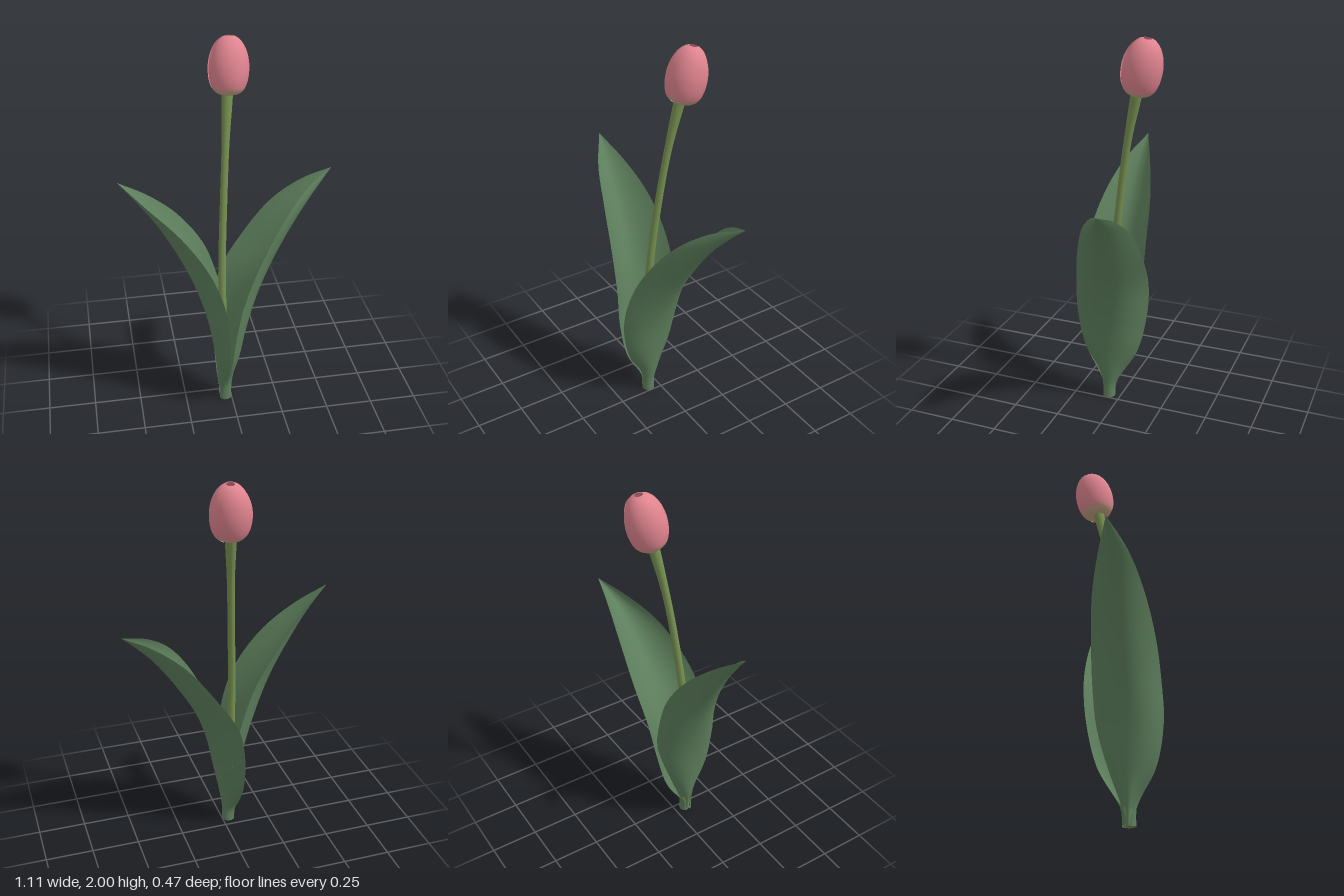
import * as THREE from 'three';

const mat = (name, color) => {
  const m = new THREE.MeshStandardMaterial({ color, side: THREE.DoubleSide });
  m.name = name;
  return m;
};
const V = (x, y, z) => new THREE.Vector3(x, y, z);
const { lerp, smoothstep, clamp, degToRad } = THREE.MathUtils;

// Smooth grid surface from point(u, v); groupOf(row) picks the material index
function surface(point, nu, nv, groupOf = () => 0) {
  const pos = [], idx = [], geo = new THREE.BufferGeometry();
  for (let j = 0; j <= nv; j++)
    for (let i = 0; i <= nu; i++) pos.push(...point(i / nu, j / nv).toArray());
  for (let j = 0; j < nv; j++) {
    geo.addGroup(idx.length, nu * 6, groupOf(j));
    for (let i = 0; i < nu; i++) {
      const a = j * (nu + 1) + i, b = a + nu + 1;
      idx.push(a, b, a + 1, a + 1, b, b + 1);
    }
  }
  geo.setAttribute('position', new THREE.Float32BufferAttribute(pos, 3));
  geo.setIndex(idx);
  geo.computeVertexNormals();
  return geo;
}

// Leaf rows: height, midrib x, front edge x, back edge x, front edge z, back edge z, belly
const leftRows = [
  [0, 0, -0.066, -0.066, 0.068, 0.058, 0.031],
  [0.07, 0, -0.06, -0.067, 0.083, 0.042, 0.024],
  [0.14, 0.008, -0.045, -0.072, 0.115, -0.005, 0.02],
  [0.28, 0.028, -0.02, -0.073, 0.19, -0.085, 0.018],
  [0.5, 0.07, -0.002, -0.063, 0.23, -0.14, 0.012],
  [0.7, 0.14, 0.042, -0.02, 0.217, -0.165, 0.005],
  [0.9, 0.25, 0.13, 0.1, 0.172, -0.177, 0],
  [1.1, 0.385, 0.268, 0.255, 0.085, -0.168, 0],
  [1.22, 0.49, 0.408, 0.41, -0.02, -0.14, 0],
  [1.285, 0.553, 0.553, 0.553, -0.11, -0.11, 0],
];
const rightRows = [
  [0, -0.062, -0.036, -0.03, 0.088, 0.036, 0],
  [0.07, -0.067, -0.034, -0.03, 0.095, 0.032, 0],
  [0.14, -0.075, -0.03, -0.026, 0.122, 0.012, 0.005],
  [0.28, -0.088, -0.03, -0.022, 0.195, -0.038, 0.01],
  [0.5, -0.12, -0.035, -0.008, 0.235, -0.1, 0.008],
  [0.7, -0.175, -0.06, -0.05, 0.231, -0.115, 0.004],
  [0.9, -0.255, -0.132, -0.12, 0.216, -0.111, 0],
  [1.1, -0.36, -0.267, -0.255, 0.178, -0.085, 0],
  [1.25, -0.46, -0.422, -0.405, 0.12, -0.03, 0],
  [1.365, -0.555, -0.555, -0.555, 0.035, 0.035, 0],
];

// Cupped blade: rolled round the stem at its foot, opening to a soft fold above
function leafGeometry(rows) {
  const curve = f => new THREE.CatmullRomCurve3(rows.map(f));
  const mid = curve(r => V(r[1], r[0], (r[4] + r[5]) / 2));
  const front = curve(r => V(r[2], r[0], r[4]));
  const back = curve(r => V(r[3], r[0], r[5]));
  const belly = curve(r => V(r[6], r[0], 0));
  return surface((u, v) => {
    const s = u * 2 - 1;
    const m = mid.getPoint(v), f = front.getPoint(v), b = back.getPoint(v);
    const fold = Math.abs(s) ** lerp(2.1, 1.75, smoothstep(m.y, 0.5, 1));
    const w = lerp((1 - Math.cos(Math.PI * s)) / 2, fold, smoothstep(m.y, 0.05, 0.4));
    const side = f.clone().sub(b).multiplyScalar(s / 2);
    side.z += belly.getPoint(v).x * Math.sin(Math.PI * s);
    const cup = f.add(b).multiplyScalar(0.5).sub(m).multiplyScalar(w);
    return m.add(side).add(cup);
  }, 24, 45);
}

// Cylinder bent along a curve, with the radius changing on the way up
function stemGeometry() {
  const path = new THREE.CatmullRomCurve3([
    V(-0.033, 0, 0.063), V(-0.042, 0.4, 0.06), V(-0.045, 0.8, 0.04),
    V(-0.025, 1.25, -0.012), V(-0.009, 1.5, -0.052), V(0.009, 1.745, -0.104),
  ]);
  const radius = new THREE.SplineCurve([0.025, 0.022, 0.02, 0.019, 0.02, 0.029]
    .map((r, i) => new THREE.Vector2(i, r)));
  const geo = new THREE.CylinderGeometry(1, 1, 1, 16, 40).rotateY(Math.PI);
  const p = geo.attributes.position;
  for (let i = 0; i < p.count; i++) {
    const t = clamp(p.getY(i) + 0.5, 0, 1);
    const c = path.getPoint(t), r = radius.getPoint(t).y;
    p.setXYZ(i, c.x + p.getX(i) * r, c.y, c.z + p.getZ(i) * r);
  }
  geo.computeVertexNormals();
  return geo;
}

// One petal wraps a third of the bud, its leading edge lapping over the next
function petalGeometry(start) {
  const profile = new THREE.SplineCurve([
    [0.018, 0], [0.05, 0.005], [0.075, 0.024], [0.09, 0.056], [0.098, 0.1],
    [0.098, 0.15], [0.088, 0.2], [0.069, 0.242], [0.044, 0.27], [0.02, 0.282],
  ].map(q => new THREE.Vector2(...q)));
  const span = degToRad(134);
  return surface((u, v) => {
    const q = profile.getPoint(v), a = start + u * span;
    const r = q.x * (1.04 - 0.095 * u);
    return V(r * Math.cos(a), q.y, r * Math.sin(a));
  }, 24, 36, row => (row < 8 ? 0 : row < 11 ? 1 : 2));
}

export function createModel() {
  const group = new THREE.Group();
  const leafGreen = mat('leafGreen', 0x5e805d);
  const stemGreen = mat('stemGreen', 0x779151);
  const petalPink = mat('petalPink', 0xe0848f);
  const petalBlush = mat('petalBlush', 0xd68f8b);
  const petalCream = mat('petalCream', 0xc4a283);
  const pistilBrown = mat('pistilBrown', 0xa8836c);

  const add = (parent, name, geo, material) => {
    const mesh = new THREE.Mesh(geo, material);
    mesh.name = name;
    parent.add(mesh);
    return mesh;
  };

  // Stem and leaves
  add(group, 'stem', stemGeometry(), stemGreen);
  add(group, 'leftLeaf', leafGeometry(leftRows), leafGreen);
  add(group, 'rightLeaf', leafGeometry(rightRows), leafGreen);

  // Closed bud of three overlapping petals, leaning with the stem
  const flower = new THREE.Group();
  flower.name = 'flower';
  flower.position.set(0.012, 1.722, -0.105);
  flower.quaternion.setFromUnitVectors(V(0, 1, 0), V(0.06, 1, -0.2).normalize());
  for (let i = 0; i < 3; i++) {
    const start = degToRad(82 + i * 120);
    add(flower, 'petal' + (i + 1), petalGeometry(start), [petalCream, petalBlush, petalPink]);
  }
  add(flower, 'pistil', new THREE.CylinderGeometry(0.014, 0.018, 0.24, 12), pistilBrown)
    .position.y = 0.125;
  group.add(flower);
  return group;
}
